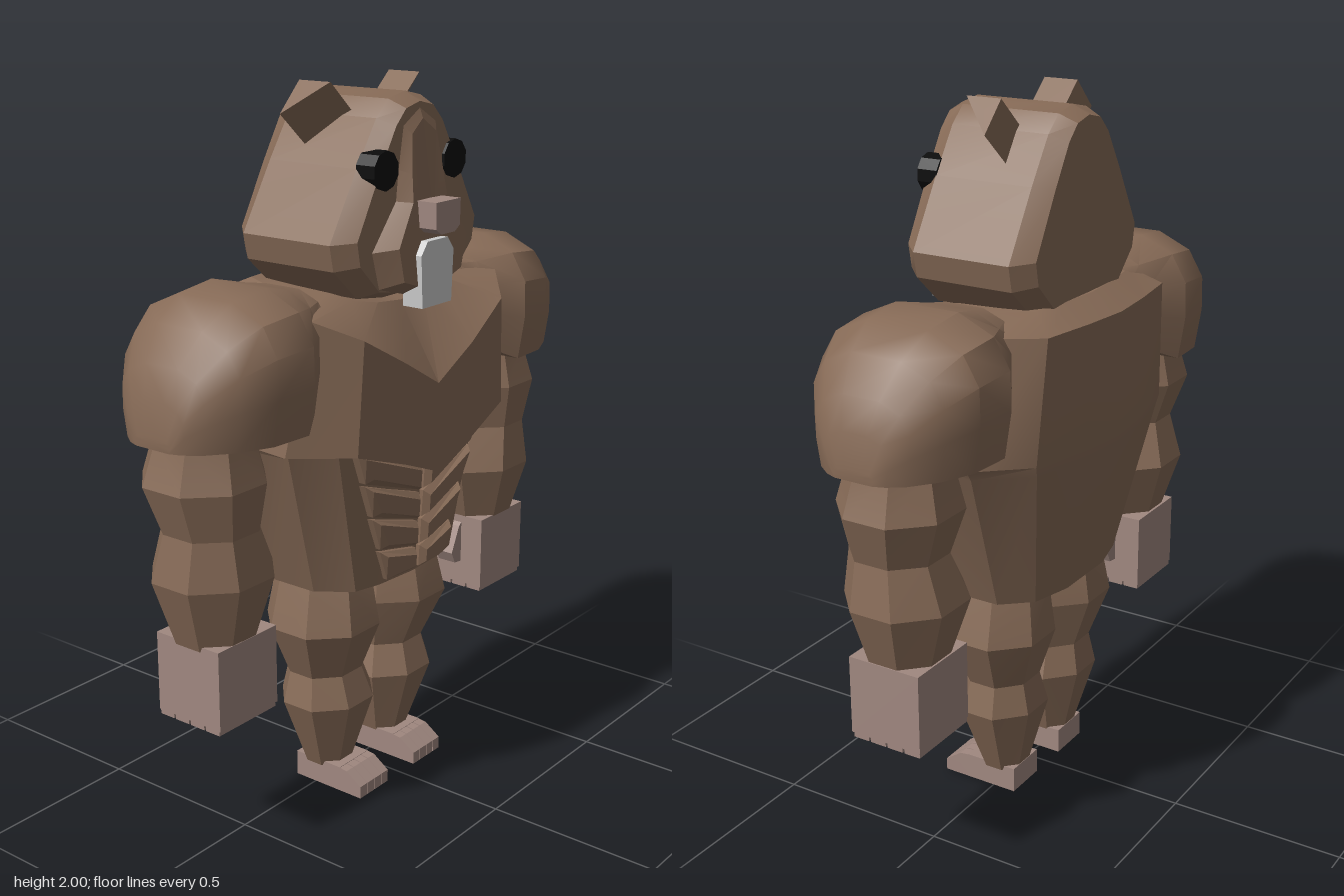
import * as THREE from 'three';
import { toCreasedNormals } from 'three/addons/utils/BufferGeometryUtils.js';

const mat = (color) => new THREE.MeshStandardMaterial({ color, roughness: 1 });

// Closed skin through rings of [x, y, z] points, capped at both ends, always facing outward
function loft(rings, crease = 0.45) {
  const n = rings[0].length, pos = rings.flat(2), idx = [];
  for (let r = 0; r < rings.length - 1; r++) {
    for (let i = 0; i < n; i++) {
      const a = r * n + i, b = r * n + (i + 1) % n;
      idx.push(a, b, b + n, a, b + n, a + n);
    }
  }
  [0, rings.length - 1].forEach((r) => {
    const c = pos.length / 3;
    for (let k = 0; k < 3; k++) pos.push(rings[r].reduce((s, p) => s + p[k], 0) / n);
    for (let i = 0; i < n; i++) {
      const a = r * n + i, b = r * n + (i + 1) % n;
      if (r) idx.push(a, b, c); else idx.push(b, a, c);
    }
  });
  const v = (i) => new THREE.Vector3(pos[i * 3], pos[i * 3 + 1], pos[i * 3 + 2]);
  let volume = 0;
  for (let i = 0; i < idx.length; i += 3) volume += v(idx[i]).dot(v(idx[i + 1]).cross(v(idx[i + 2])));
  if (volume < 0) idx.reverse();
  const g = new THREE.BufferGeometry();
  g.setAttribute('position', new THREE.Float32BufferAttribute(pos, 3));
  g.setIndex(idx);
  return toCreasedNormals(g, crease);
}

// Half outline from centre to centre, completed by mirroring in x
const mirrorRing = (half) => [
  ...half,
  ...half.filter((p) => p[0] > 0.0001).reverse().map(([x, y, z]) => [-x, y, z]),
];

// Eight-sided limb from rows of [y, xMin, xMax, zBack, zFront]
const limb = (rows) => loft(rows.map(([y, x0, x1, z0, z1]) =>
  Array.from({ length: 8 }, (_, i) => {
    const a = (i + 0.5) * Math.PI / 4, k = 0.5 / Math.cos(Math.PI / 8);
    return [(x0 + x1) / 2 + Math.cos(a) * (x1 - x0) * k, y, (z0 + z1) / 2 + Math.sin(a) * (z1 - z0) * k];
  })), 0.3);

// Box given by its limits
function block(x0, x1, y0, y1, z0, z1) {
  return new THREE.BoxGeometry(x1 - x0, y1 - y0, z1 - z0)
    .translate((x0 + x1) / 2, (y0 + y1) / 2, (z0 + z1) / 2);
}

export function createModel() {
  const model = new THREE.Group();
  const fur = mat(0x866a56), skin = mat(0xa08880), black = mat(0x0b0b0b), tooth = mat(0xcccccc);
  const add = (parent, name, geometry, material) => {
    const m = new THREE.Mesh(geometry, material);
    m.name = name;
    parent.add(m);
    return m;
  };
  const group = (name, parent = model) => {
    const g = new THREE.Group();
    g.name = name;
    parent.add(g);
    return g;
  };

  // Torso: waist, ribs, overhanging chest, V-shaped collar edge, neck base
  add(model, 'torso', loft([
    [[0, 0.65, 0.2], [0.14, 0.65, 0.19], [0.22, 0.65, 0.17], [0.29, 0.65, 0.08],
      [0.29, 0.65, -0.08], [0.22, 0.65, -0.16], [0.1, 0.65, -0.19], [0, 0.65, -0.19]],
    [[0, 0.99, 0.22], [0.15, 1.04, 0.22], [0.32, 1.09, 0.19], [0.43, 1.1, 0.11],
      [0.44, 1.07, -0.1], [0.33, 1.07, -0.23], [0.15, 1.07, -0.27], [0, 1.07, -0.285]],
    [[0, 0.96, 0.27], [0.15, 1.02, 0.285], [0.33, 1.08, 0.265], [0.47, 1.09, 0.14],
      [0.46, 1.1, -0.1], [0.34, 1.1, -0.235], [0.15, 1.1, -0.275], [0, 1.1, -0.29]],
    [[0, 1.21, 0.28], [0.15, 1.295, 0.285], [0.31, 1.385, 0.27], [0.41, 1.44, 0.18],
      [0.41, 1.44, -0.1], [0.31, 1.44, -0.25], [0.15, 1.44, -0.275], [0, 1.44, -0.29]],
    [[0, 1.42, 0.15], [0.1, 1.43, 0.15], [0.2, 1.45, 0.14], [0.28, 1.46, 0.1],
      [0.28, 1.47, -0.06], [0.24, 1.48, -0.17], [0.12, 1.48, -0.19], [0, 1.48, -0.2]],
  ].map(mirrorRing)), fur);

  // Abdominal muscles: four slanted bevelled pads on each side
  const abs = group('abdominalMuscles');
  const outerY = [1.07, 0.97, 0.865, 0.76, 0.66], innerY = [0.98, 0.895, 0.81, 0.73, 0.66];
  for (const s of [1, -1]) {
    for (let i = 0; i < 4; i++) {
      const ox = (y) => 0.13 + (y - 0.66) * 0.36;
      const pad = (inset, lift) => [
        [0.006 + inset, innerY[i + 1] + inset], [ox(outerY[i + 1]) - inset, outerY[i + 1] + inset],
        [ox(outerY[i]) - inset, outerY[i] - inset], [0.006 + inset, innerY[i] - inset],
      ].map(([x, y]) => [s * x, y, 0.2 + (y - 0.65) * 0.06 - x * 0.06 + lift]);
      add(abs, 'abPad', loft([pad(0.004, -0.03), pad(0.004, 0.012), pad(0.018, 0.03)], 0.1), fur);
    }
  }

  // Head: bevelled pear-shaped block
  const head = group('head');
  head.position.x = 0.01;
  const face = [[0, 1.97], [0.07, 1.955], [0.12, 1.91], [0.2, 1.79], [0.31, 1.61],
    [0.295, 1.54], [0.2, 1.455], [0.09, 1.44], [0, 1.44]];
  const headRing = (k, z) => mirrorRing(face.map(([x, y]) => [x * k, 1.68 + (y - 1.68) * (k + 1) / 2, z]));
  add(head, 'skull', loft([headRing(0.84, -0.19), headRing(1, -0.14), headRing(1, 0.15), headRing(0.84, 0.2)]), fur);

  // Muzzle: raised bridge widening into cheeks
  const snout = [[0, 1.93], [0.07, 1.89], [0.09, 1.78], [0.1, 1.7], [0.2, 1.58], [0.17, 1.48], [0.06, 1.45], [0, 1.45]];
  const bulge = (y) => 0.21 + 0.04 * Math.min(1, (1.93 - y) / 0.33);
  add(head, 'muzzle', loft([
    mirrorRing(snout.map(([x, y]) => [x, y, 0.18])),
    mirrorRing(snout.map(([x, y]) => [x, y, 0.2])),
    mirrorRing(snout.map(([x, y]) => [x * 0.75, 1.67 + (y - 1.67) * 0.9, bulge(y)])),
  ], 0.25), fur);
  const nose = [[-0.055, 1.7], [0.055, 1.7], [0.053, 1.63], [0.03, 1.615], [-0.03, 1.615], [-0.053, 1.63]];
  add(head, 'nose', loft([0.22, 0.295].map((z) => nose.map(([x, y]) => [x, y, z])), 0.1), skin);
  const teeth = [[-0.065, 1.42], [0.065, 1.42], [0.072, 1.56], [0.045, 1.595], [-0.045, 1.595], [-0.072, 1.56]];
  add(head, 'frontTeeth', loft([0.2, 0.263].map((z) => teeth.map(([x, y]) => [x, y, z])), 0.1), tooth);

  for (const s of [1, -1]) {
    const eye = add(head, 'eye', toCreasedNormals(new THREE.CylinderGeometry(0.052, 0.052, 0.06, 10), 0.4), black);
    eye.rotation.x = Math.PI / 2;
    eye.position.set(s * 0.151, 1.785, 0.178);
    // Ear: wedge whose inner edge reaches forward
    const wedge = (a, b) => [[s * a[0], a[1], 0.058], [s * a[0], a[1], -0.045], [s * b[0], b[1], -0.045]];
    add(head, 'ear', loft([wedge([0.09, 1.91], [0.165, 1.83]), wedge([0.19, 2.0], [0.268, 1.92])], 0.1), fur);
  }

  // Shoulder arch as [depth share, height share], and sections as [x, bottom, top, half depth]
  const arch = [[-0.92, 0], [-1, 0.35], [-0.99, 0.65], [-0.8, 0.87], [-0.38, 1]];
  const fullArch = [...arch, ...arch.map(([z, h]) => [-z, h]).reverse()];
  const sections = [[0.31, 1.3, 1.49, 0.15], [0.37, 1.22, 1.5, 0.18], [0.475, 1.17, 1.525, 0.245],
    [0.6, 1.17, 1.51, 0.237], [0.69, 1.17, 1.455, 0.195], [0.755, 1.17, 1.37, 0.14], [0.785, 1.17, 1.29, 0.095], [0.797, 1.17, 1.2, 0.06]];

  for (const s of [1, -1]) {
    const side = s > 0 ? 'left' : 'right';
    const flip = (g) => {
      if (s > 0) return g;
      const p = g.toNonIndexed ? (g.index ? g.toNonIndexed() : g) : g;
      p.scale(-1, 1, 1);
      for (const key of ['position', 'normal']) {
        const a = p.attributes[key];
        for (let i = 0; i < a.count; i += 3) {
          const t = [a.getX(i), a.getY(i), a.getZ(i)];
          a.setXYZ(i, a.getX(i + 2), a.getY(i + 2), a.getZ(i + 2));
          a.setXYZ(i + 2, ...t);
        }
      }
      return p;
    };

    // Arm with shoulder cap and square hand
    const arm = group(side + 'Arm');
    add(arm, 'shoulder', flip(loft(sections.map(([x, b, t, d]) =>
      fullArch.map(([z, h]) => [x, b + (t - b) * h, z * d])), 0.6)), fur);
    add(arm, 'arm', flip(limb([[1.25, 0.5, 0.72, -0.12, 0.11], [1.17, 0.49, 0.73, -0.13, 0.12],
      [1.05, 0.46, 0.77, -0.16, 0.15], [0.92, 0.49, 0.73, -0.115, 0.13],
      [0.79, 0.435, 0.755, -0.155, 0.15], [0.61, 0.495, 0.7, -0.1, 0.1]])), fur);
    const hand = group('hand', arm);
    hand.position.set(s > 0 ? 0 : 0.012, s > 0 ? 0 : -0.008, 0);
    add(hand, 'palm', flip(block(0.487, 0.71, 0.41, 0.632, -0.112, 0.105)), skin);
    for (let i = 0; i < 4; i++) {
      const z = -0.11 + i * 0.054;
      add(hand, 'finger', flip(block(0.49, 0.708, 0.396, 0.415, z, z + 0.048)), skin);
    }
    const thumb = (z) => [[0.5, 0.62, z], [0.475, 0.6, z], [0.438, 0.52, z], [0.455, 0.485, z], [0.5, 0.48, z]];
    add(hand, 'thumb', flip(loft([thumb(-0.03), thumb(0.03)], 0.1)), skin);

    // Leg and foot with four toes
    const leg = group(side + 'Leg');
    add(leg, 'leg', flip(limb([[0.7, 0.04, 0.26, -0.11, 0.11], [0.65, 0.025, 0.275, -0.13, 0.13],
      [0.51, 0.006, 0.31, -0.15, 0.157], [0.36, 0.035, 0.25, -0.1, 0.095],
      [0.27, 0.005, 0.272, -0.12, 0.125], [0.06, 0.065, 0.195, -0.065, 0.06]])), fur);
    add(leg, 'foot', flip(block(0.063, 0.192, 0, 0.074, -0.07, 0.09)), skin);
    for (let i = 0; i < 4; i++) {
      const x = 0.063 + i * 0.033;
      const toe = (tx) => [[tx, 0, 0.08], [tx, 0, 0.165], [tx, 0.036, 0.165], [tx, 0.07, 0.115], [tx, 0.074, 0.08]];
      add(leg, 'toe', flip(loft([toe(x), toe(x + 0.03)], 0.1)), skin);
    }
  }
  return model;
}
